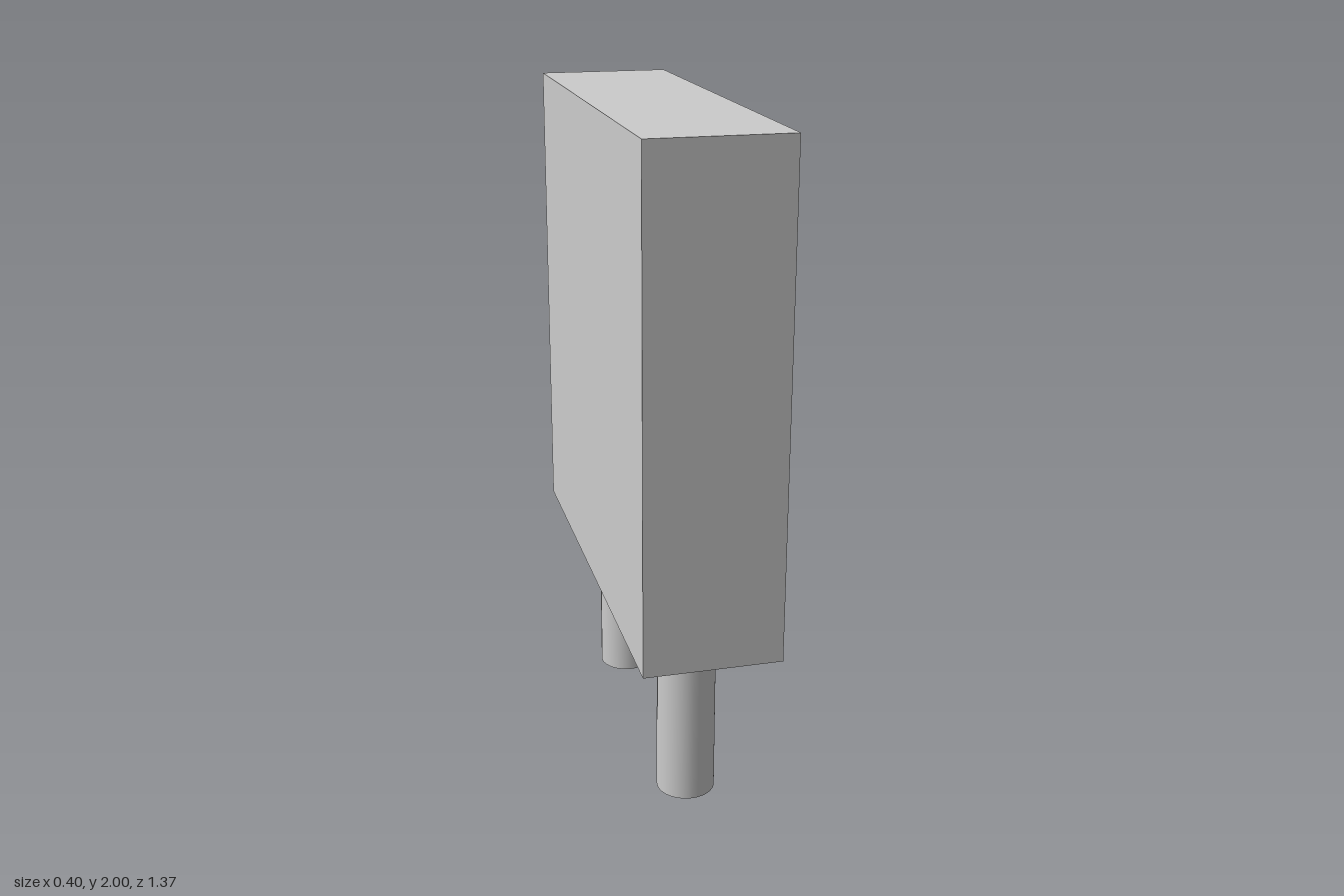
import * as THREE from 'three';

export function createModel() {
  const model = new THREE.Group();
  const material = new THREE.MeshStandardMaterial({ color: 0xcccccc });
  const legHeight = 0.545;
  const bodyHeight = 2 - legHeight;

  // Upright slab body
  const body = new THREE.Mesh(new THREE.BoxGeometry(0.4, bodyHeight, 1.372), material);
  body.name = 'body';
  body.position.y = legHeight + bodyHeight / 2;
  model.add(body);

  // Round legs, set slightly towards the back
  const legGeometry = new THREE.CylinderGeometry(0.087, 0.087, legHeight, 32);
  for (const [name, z] of [['frontLeg', 0.396], ['backLeg', -0.411]]) {
    const leg = new THREE.Mesh(legGeometry, material);
    leg.name = name;
    leg.position.set(0, legHeight / 2, z);
    model.add(leg);
  }

  return model;
}
